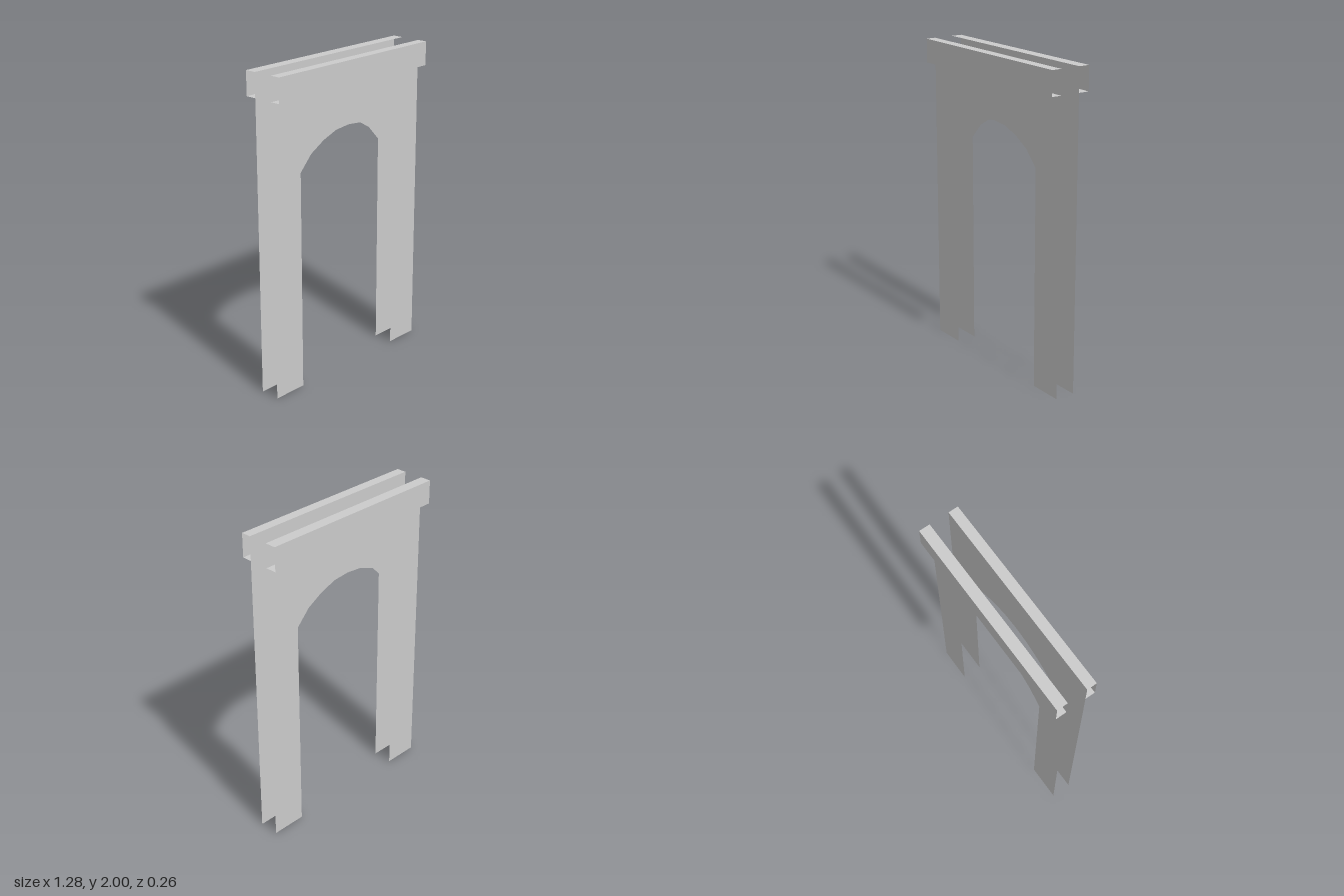
import * as THREE from 'three';

const material = new THREE.MeshStandardMaterial({ color: 0xcccccc, flatShading: true, side: THREE.DoubleSide });
const halfWidth = 0.64;

// Right half of the arch, from the springing to the crown
const archHalf = [[0.415, 1.385], [0.325, 1.48], [0.22, 1.54], [0.11, 1.58], [0, 1.59]];

// Flat wall sheet with an arched opening
function wallPanel(name, top, z) {
  const leftHalf = archHalf.slice(0, -1).reverse().map(([x, y]) => [-x, y]);
  const outline = [
    [halfWidth, 0], [halfWidth, top], [-halfWidth, top], [-halfWidth, 0],
    [-0.415, 0], ...leftHalf.reverse(), ...archHalf.slice().reverse(), [0.415, 0],
  ].map(([x, y]) => new THREE.Vector2(x, y));
  const mesh = new THREE.Mesh(new THREE.ShapeGeometry(new THREE.Shape(outline)), material);
  mesh.name = name;
  mesh.position.z = z;
  return mesh;
}

// Open-ended cornice: top, outer face and underside, made of thin strips
function cornice(name, inner, outer) {
  const group = new THREE.Group();
  group.name = name;
  const depth = Math.abs(outer - inner);
  const middle = (inner + outer) / 2;
  const [top, bottom] = [2, 1.85];

  const strip = (part, size, y, z, turn) => {
    const mesh = new THREE.Mesh(new THREE.PlaneGeometry(halfWidth * 2, size), material);
    mesh.name = part;
    mesh.position.set(0, y, z);
    mesh.rotation.x = turn;
    group.add(mesh);
  };
  strip('corniceTop', depth, top, middle, -Math.PI / 2);
  strip('corniceUnderside', depth, bottom, middle, Math.PI / 2);
  strip('corniceFace', top - bottom, (top + bottom) / 2, outer, outer > 0 ? 0 : Math.PI);
  return group;
}

export function createModel() {
  const model = new THREE.Group();
  model.name = 'archedWall';
  // The back sheet stops halfway up its cornice
  model.add(
    wallPanel('frontWall', 2, 0.067),
    wallPanel('backWall', 1.925, -0.06),
    cornice('frontCornice', 0.067, 0.13),
    cornice('backCornice', -0.06, -0.13),
  );
  return model;
}
